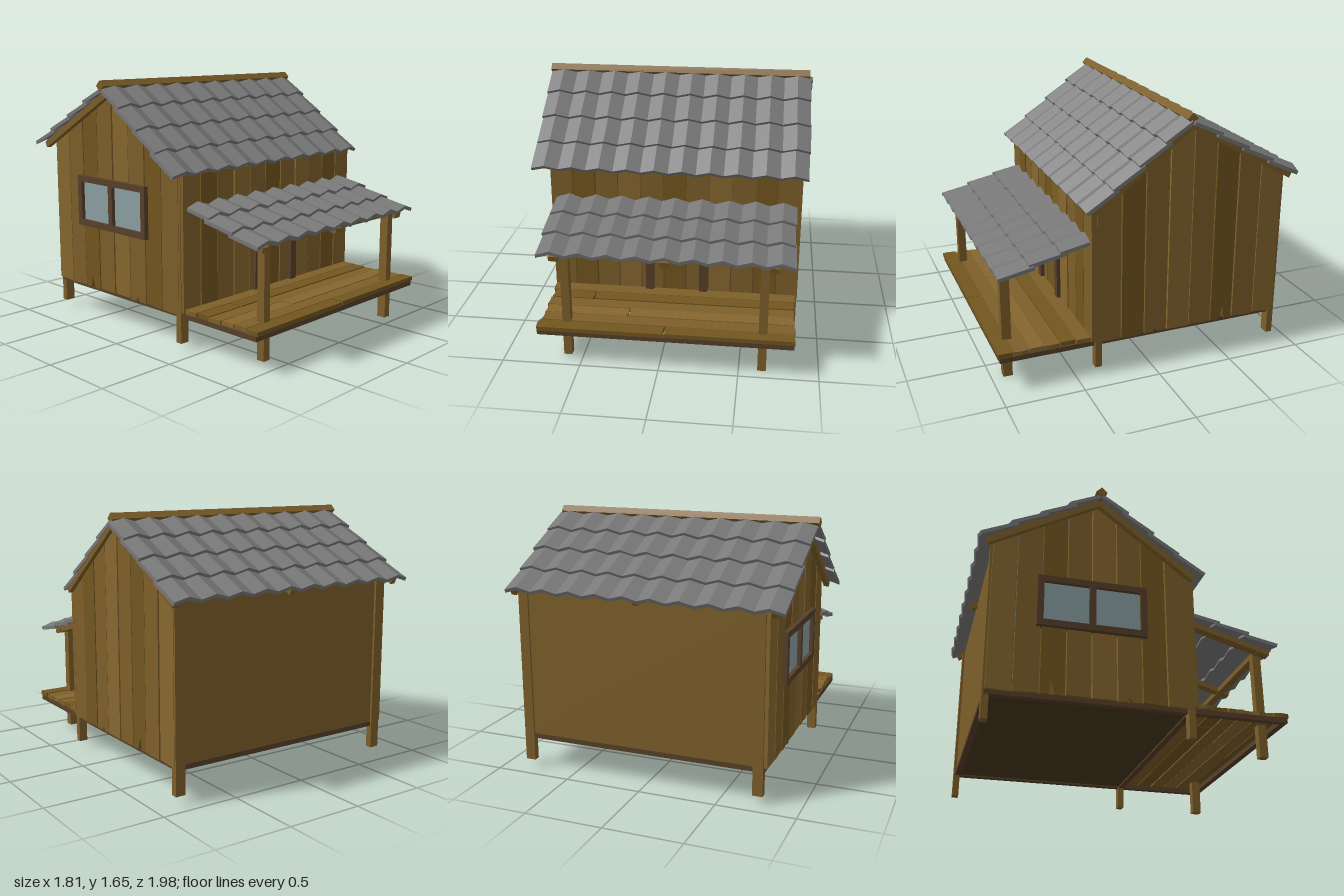
import * as THREE from 'three';

const mat = (color) => new THREE.MeshStandardMaterial({ color, flatShading: true });
const WOOD = mat(0x7d5f2a), WOOD_LIGHT = mat(0x87672f), WOOD_DARK = mat(0x72561f);
const TRIM = mat(0x57402a), FLOOR = mat(0x4a371f), TILE = mat(0x787878), GLASS = mat(0x8ba0a2);
const SHADES = [WOOD, WOOD_DARK, WOOD, WOOD_LIGHT];

// Small seeded generator for worn edges
let seed = 7;
const rand = () => (seed = (seed * 16807) % 2147483647) / 2147483647;
const jitter = (a) => (rand() - 0.5) * 2 * a;

// Box given by its minimum and maximum along each axis
function box(parent, name, material, [x0, x1], [y0, y1], [z0, z1]) {
  const m = new THREE.Mesh(new THREE.BoxGeometry(x1 - x0, y1 - y0, z1 - z0), material);
  m.position.set((x0 + x1) / 2, (y0 + y1) / 2, (z0 + z1) / 2);
  m.name = name;
  parent.add(m);
  return m;
}

// Flat outline extruded to a plank
function plank(parent, name, material, points, depth) {
  const shape = new THREE.Shape(points.map(([x, y]) => new THREE.Vector2(x, y)));
  const m = new THREE.Mesh(new THREE.ExtrudeGeometry(shape, { depth, bevelEnabled: false }), material);
  m.name = name;
  parent.add(m);
  return m;
}

function group(parent, name) {
  const g = new THREE.Group();
  g.name = name;
  parent.add(g);
  return g;
}

// Roof underside height above a given z
const RIDGE_Z = -0.23;
const roofY = (z) => 1.58 - (z > RIDGE_Z ? 0.757 * (z - RIDGE_Z) : 0.56 * (RIDGE_Z - z));

// One sloping roof: overlapping rows of wavy tiles, z running down the slope
function roofSlope(parent, name, { x0, x1, y, z, angle, length, rows, waves, back }) {
  const g = group(parent, name);
  g.rotation.order = 'YXZ';
  g.rotation.set(angle, back ? Math.PI : 0, 0);
  g.position.set(0, y, z);
  const amp = 0.014, thick = 0.024, n = waves * 4, step = length / rows;
  const wave = (i) => -amp - amp * Math.cos((i / n) * waves * Math.PI * 2);
  for (let r = 0; r < rows; r++) {
    const pts = [];
    const px = (i) => (back ? -1 : 1) * (x0 + ((x1 - x0) * i) / n);
    for (let i = 0; i <= n; i++) pts.push([px(i), wave(i) - thick]);
    for (let i = n; i >= 0; i--) pts.push([px(i), wave(i)]);
    const lap = r ? 0.03 : 0;
    const row = plank(g, 'tileRow', TILE, pts, step + lap);
    row.rotation.x = -0.085;
    row.position.set(jitter(0.004), -0.085 * (step + lap), r * step - lap);
  }
  return g;
}

// Vertical boards of a gable wall, cut around an optional window opening
function sideWall(parent, name, x, thick, opening) {
  const g = group(parent, name);
  const count = 8, zMax = 0.365, w = (zMax + 0.89) / count;
  for (let i = 0; i < count; i++) {
    const b = zMax - i * w - 0.004, a = zMax - (i + 1) * w + 0.004, mid = (a + b) / 2;
    const bottom = [[a, 0.225 + jitter(0.006)], [b, 0.225 + jitter(0.006)]];
    if (i % 3 === 2) {
      const h = i === 5 ? 0.08 : 0.025;
      bottom.splice(1, 0, [mid - 0.02, 0.228], [mid - 0.01, 0.228 + h], [mid + 0.015, 0.226]);
    }
    const top = [[b, roofY(b)]];
    if (a < RIDGE_Z && b > RIDGE_Z) top.push([RIDGE_Z, roofY(RIDGE_Z)]);
    top.push([a, roofY(a)]);
    const cut = opening && mid > opening.z[0] && mid < opening.z[1];
    const pieces = cut
      ? [[...bottom, [b, opening.y[0]], [a, opening.y[0]]], [[a, opening.y[1]], [b, opening.y[1]], ...top]]
      : [[...bottom, ...top]];
    for (const p of pieces) {
      const m = plank(g, 'sideBoard', SHADES[i % 4], p, thick);
      m.rotation.y = -Math.PI / 2;
      m.position.x = x + jitter(0.003);
    }
  }
}

export function createModel() {
  const model = new THREE.Group();
  model.name = 'woodenCabin';

  // Floor slab, underside frame and porch frame
  box(model, 'cabinFloor', FLOOR, [-0.75, 0.82], [0.212, 0.235], [-0.86, 0.37]);
  const frame = group(model, 'floorFrame');
  for (const [a, b] of [[-0.77, -0.73], [0.8, 0.84]]) box(frame, 'sideBeam', TRIM, [a, b], [0.2, 0.232], [-0.89, 0.985]);
  for (const z of [-0.87, 0.36, 0.965]) box(frame, 'crossBeam', TRIM, [-0.73, 0.8], [0.2, 0.232], [z - 0.02, z + 0.02]);

  // Porch deck planks with uneven ends, some split in two
  const deck = group(model, 'porchDeck');
  for (let i = 0; i < 6; i++) {
    const z0 = 0.402 + i * 0.0995, z1 = z0 + 0.094;
    const x0 = -0.765 + jitter(0.012), x1 = 0.835 + jitter(0.012);
    const split = i % 2 ? 0.035 - (5 - i) * 0.13 : null;
    const spans = split === null ? [[x0, x1]] : [[x0, split - 0.006], [split + 0.006, x1]];
    for (const [a, b] of spans) {
      const e = () => jitter(0.01);
      const m = plank(deck, 'deckPlank', SHADES[i % 4],
        [[a, -z1], [b, -z1], [b + e(), -z0 - 0.05], [b, -z0], [a, -z0], [a + e(), -z0 - 0.05]], 0.027);
      m.rotation.x = -Math.PI / 2;
      m.position.y = 0.234 + jitter(0.003);
    }
  }

  // Corner posts carrying the cabin
  const posts = group(model, 'cornerPosts');
  box(posts, 'frontPost', WOOD, [-0.79, -0.73], [0.04, 1.1], [0.335, 0.378]);
  box(posts, 'frontPost', WOOD, [0.8, 0.855], [0.05, 1.1], [0.335, 0.378]);
  box(posts, 'backPost', WOOD, [-0.765, -0.7], [0.05, 1.19], [-0.9, -0.858]);
  box(posts, 'backPost', WOOD, [0.79, 0.855], [0.05, 1.19], [-0.9, -0.858]);

  // Front and back walls
  const front = group(model, 'frontWall');
  for (let i = 0; i < 11; i++) {
    const x = -0.79 + i * 0.15, d = jitter(0.004);
    box(front, 'frontBoard', SHADES[i % 4], [x + 0.004, x + 0.146], [0.235 + jitter(0.005), 1.1], [0.372 + d, 0.4 + d]);
  }
  box(model, 'backWall', WOOD, [-0.76, 0.83], [0.23, 1.2], [-0.885, -0.86]);

  // Gable walls, the one on the -x side with a window
  const opening = { y: [0.68, 0.97], z: [-0.577, 0.051] };
  sideWall(model, 'plainSideWall', 0.86, 0.03, null);
  sideWall(model, 'windowSideWall', -0.76, 0.03, opening);

  // Door frame
  const door = group(model, 'doorFrame');
  for (const x of [-0.16, 0.2]) box(door, 'doorJamb', TRIM, [x, x + 0.055], [0.25, 0.8], [0.39, 0.425]);
  box(door, 'doorLintel', TRIM, [-0.16, 0.255], [0.8, 0.85], [0.39, 0.425]);

  // Window frame and two panes
  const win = group(model, 'window');
  const [wy0, wy1] = opening.y, [wz0, wz1] = opening.z, wx = [-0.82, -0.755];
  for (const y of [wy0 - 0.025, wy1 - 0.015]) box(win, 'windowRail', TRIM, wx, [y, y + 0.04], [wz0 - 0.03, wz1 + 0.03]);
  for (const z of [wz0 - 0.03, (wz0 + wz1) / 2 - 0.02, wz1 - 0.01]) box(win, 'windowStile', TRIM, wx, [wy0, wy1], [z, z + 0.04]);
  box(win, 'windowGlass', GLASS, [-0.795, -0.785], [wy0, wy1], [wz0, wz1]);

  // Main roof with gable rafters and ridge beam
  const roof = group(model, 'mainRoof');
  const slopes = [
    roofSlope(roof, 'frontSlope', { x0: -0.9, x1: 0.895, y: 1.635, z: -0.2, angle: 0.648, length: 0.83, rows: 4, waves: 10 }),
    roofSlope(roof, 'backSlope', { x0: -0.895, x1: 0.905, y: 1.635, z: -0.26, angle: 0.512, length: 0.837, rows: 4, waves: 10, back: true }),
  ];
  slopes.forEach((s, i) => {
    for (const x of [-0.825, 0.035, 0.87]) {
      const c = i ? -x : x;
      box(s, 'rafter', WOOD, [c - 0.018, c + 0.018], [-0.092, -0.05], [0.0, i ? 0.81 : 0.79]);
    }
  });
  const ridge = box(roof, 'ridgeBeam', WOOD, [-0.905, 0.885], [1.585, 1.635], [-0.255, -0.205]);
  ridge.rotation.x = Math.PI / 4;

  // Porch roof with rafters, beam and two posts
  const porch = group(model, 'porch');
  const slope = roofSlope(porch, 'porchRoof', { x0: -0.755, x1: 0.825, y: 0.945, z: 0.4, angle: 0.277, length: 0.605, rows: 3, waves: 9 });
  for (const x of [-0.65, 0.035, 0.7]) box(slope, 'porchRafter', WOOD, [x - 0.03, x + 0.03], [-0.09, -0.055], [-0.01, 0.59]);
  box(porch, 'porchBeam', WOOD, [-0.68, 0.735], [0.715, 0.75], [0.865, 0.915]);
  box(porch, 'porchPost', WOOD, [-0.62, -0.568], [0.02, 0.73], [0.855, 0.91]);
  box(porch, 'porchPost', WOOD, [0.618, 0.672], [0, 0.73], [0.865, 0.925]);

  return model;
}
